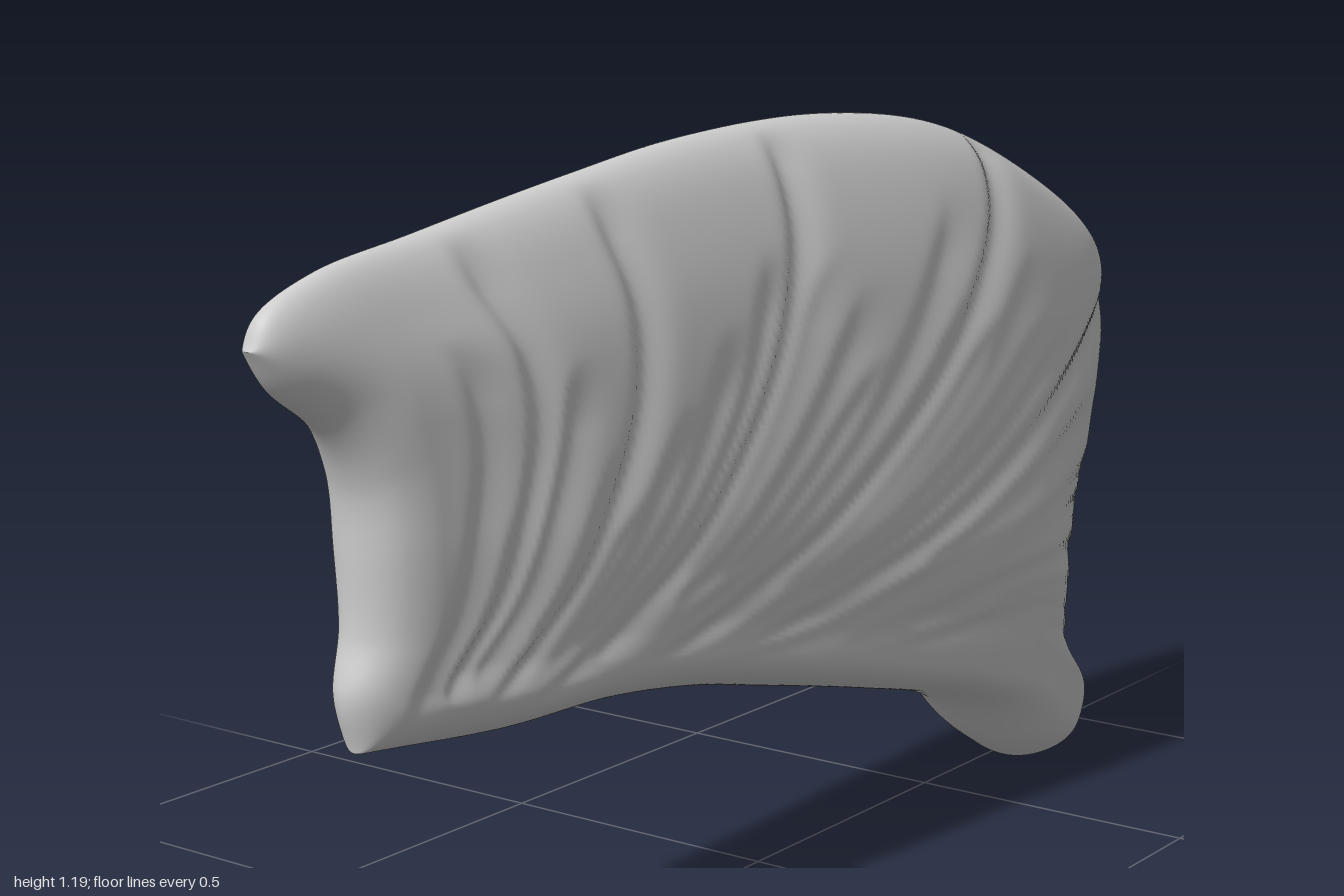
import * as THREE from 'three';
import { mergeVertices } from 'three/addons/utils/BufferGeometryUtils.js';

const NU = 270, NV = 136;

// Outline curves in side profile, each point [z, y]
const BOTTOM = [[0.84, 0.39], [0.6, 0.37], [0.4, 0.37], [0.2, 0.345], [0, 0.3], [-0.25, 0.24], [-0.45, 0.185], [-0.56, 0.135], [-0.66, 0.045], [-0.73, 0]];
const TOP = [[1, 0.965], [0.975, 1.01], [0.88, 1.055], [0.7, 1.09], [0.4, 1.145], [0.15, 1.18], [-0.2, 1.193], [-0.5, 1.155], [-0.8, 1.04], [-0.89, 0.985], [-0.945, 0.935]];
const FRONT = [[0.84, 0.39], [0.856, 0.47], [0.835, 0.55], [0.832, 0.65], [0.84, 0.76], [0.88, 0.84], [0.96, 0.905], [1, 0.965]];
const BACK = [[-0.73, 0], [-0.785, 0.02], [-0.81, 0.09], [-0.8, 0.17], [-0.85, 0.26], [-0.92, 0.45], [-0.975, 0.65], [-0.998, 0.77], [-0.985, 0.86], [-0.945, 0.935]];

// Half width and centre line x along z
const SECTION = new THREE.CubicInterpolant(
  [-1, -0.75, -0.4, 0, 0.4, 0.6, 0.8, 1],
  [0.17, 0, 0.175, 0, 0.18, 0, 0.158, -0.024, 0.134, -0.04, 0.117, -0.055, 0.082, -0.07, 0.07, -0.085], 2);

const { lerp, smoothstep, clamp } = THREE.MathUtils;

function sample(points, params) {
  const curve = new THREE.CatmullRomCurve3(points.map(([z, y]) => new THREE.Vector3(0, y, z)), false, 'centripetal');
  return params.map(t => curve.getPointAt(t));
}

// Quarter-ellipse falloff from an edge
function roundOff(distance, depth) {
  const d = 1 - clamp(distance / depth, 0, 1);
  return Math.sqrt(Math.max(0, 1 - d * d));
}

// Smooth minimum of the four edge falloffs, so corners stay blunt
function softMin(...values) {
  return values.reduce((sum, r) => sum + r ** -4 - 1, 1) ** -0.25;
}

function seeded(seed) {
  return () => (seed = (seed * 16807) % 2147483647) / 2147483647;
}

// Fibre grooves that fan out from the lower front corner
function makeGrooves(seed, main, reach) {
  const rnd = seeded(seed);
  const list = main.map(q => ({ q, depth: 0.014, size: 0.009, low: 0.08, high: 1.15 }));
  for (let q = 0.12; q < 1.9; q += 0.035 + 0.035 * rnd()) {
    const low = 0.05 + 0.16 * rnd();
    list.push({ q, depth: 0.006 + 0.006 * rnd(), size: 0.008 + 0.004 * rnd(), low, high: low + reach * (0.5 + 0.7 * rnd()) });
  }
  return (u, v) => {
    const fan = Math.pow(Math.max(v, 0.001), 0.4);
    // keeps strands equally wide where they run nearly level
    const slant = Math.hypot(1, 0.85 * u / Math.max(v, 0.02));
    let cut = 0;
    for (const g of list) {
      const d = (u - g.q * fan) / (g.size * slant);
      if (Math.abs(d) > 6) continue;
      const along = smoothstep(v, g.low, g.low + 0.08) * (1 - smoothstep(v, g.high - 0.15, g.high));
      // steep on one side, gentle on the other, like overlapping strands
      cut = Math.max(cut, g.depth * along * Math.exp(-d * d * (d < 0 ? 1 : 0.2)));
    }
    return cut;
  };
}

function bodyGeometry() {
  // Cosine spacing keeps the rounded rims smooth
  const spaced = n => Array.from({ length: n + 1 }, (_, i) => 0.5 - 0.5 * Math.cos(Math.PI * i / n));
  const us = spaced(NU), vs = spaced(NV);
  const bottom = sample(BOTTOM, us), top = sample(TOP, us);
  const front = sample(FRONT, vs), back = sample(BACK, vs);
  const grooves = {
    1: makeGrooves(1234, [0.18, 0.31, 0.51, 0.78, 1.03], 0.65),
    [-1]: makeGrooves(71, [0.14, 0.21, 0.29, 0.62], 0.5)
  };

  function point(i, j, side) {
    const u = us[i], v = vs[j];
    // Blend the four outline curves into a filled patch
    const blend = k => (1 - v) * bottom[i][k] + v * top[i][k] + (1 - u) * front[j][k] + u * back[j][k]
      - ((1 - u) * (1 - v) * bottom[0][k] + u * (1 - v) * bottom[NU][k] + (1 - u) * v * top[0][k] + u * v * top[NU][k]);
    let z = blend('z'), y = blend('y');
    const [halfWidth, centre] = SECTION.evaluate(z);
    const height = bottom[i].distanceTo(top[i]), length = front[j].distanceTo(back[j]);
    let w = halfWidth * softMin(
      roundOff((1 - v) * height, lerp(0.22, 0.52, smoothstep(u, 0, 0.4))),
      roundOff(v * height, 0.075),
      roundOff(u * length, lerp(0.09, 0.18, smoothstep(v, 0.6, 0.95))),
      roundOff((1 - u) * length, lerp(0.07, 0.42, smoothstep(v, 0.08, 0.5))));
    // The sides draw in towards the broad underside
    w *= lerp(0.77, 1, smoothstep(v * height, 0, 0.3));
    w -= grooves[side](u, v) * smoothstep(w, 0.02, 0.08);
    const foot = (1 - smoothstep(y, 0.1, 0.3)) * smoothstep(-z, 0.5, 0.65);
    const x = centre + 0.012 * foot + side * w;
    // The foot rises and turns forward towards the right
    y += foot * 2 * (x - 0.08) ** 2;
    z += foot * 0.3 * (0.06 - x);
    return [x, y, z];
  }

  const ring = 2 * NV, positions = [], index = [];
  for (let i = 0; i <= NU; i++) {
    for (let j = 0; j < ring; j++) {
      positions.push(...(j <= NV ? point(i, j, 1) : point(i, ring - j, -1)));
      if (i === NU) continue;
      const a = i * ring + j, b = i * ring + (j + 1) % ring;
      index.push(a, a + ring, b, b, a + ring, b + ring);
    }
  }
  let geometry = new THREE.BufferGeometry();
  geometry.setAttribute('position', new THREE.Float32BufferAttribute(positions, 3));
  geometry.setIndex(index);
  geometry = mergeVertices(geometry, 1e-5);
  geometry.computeVertexNormals();
  return geometry;
}

export function createModel() {
  const group = new THREE.Group();
  group.name = 'muscle';
  const body = new THREE.Mesh(bodyGeometry(), new THREE.MeshStandardMaterial({ color: 0xcccccc }));
  body.name = 'fibrousBody';
  group.add(body);
  return group;
}
